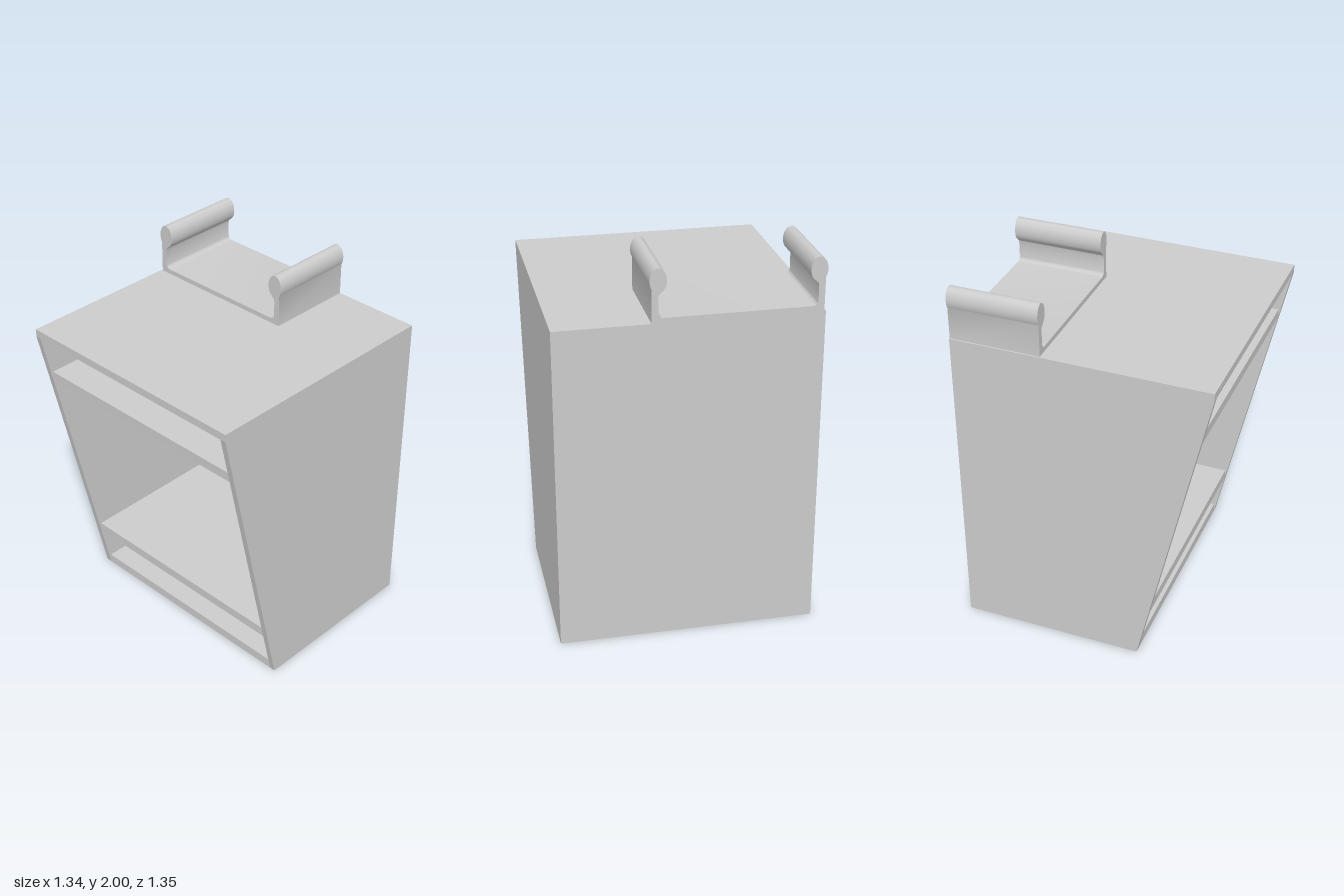
import * as THREE from 'three';
import { toCreasedNormals } from 'three/addons/utils/BufferGeometryUtils.js';

const W = 0.667, H = 1.726, BACK = -0.677, TOP_FRONT = 0.677, BASE_FRONT = 0.3, T = 0.032;
const LIP = 1.685; // height where the sloped front turns vertical
const frontAt = y => BASE_FRONT + (TOP_FRONT - BASE_FRONT) * Math.min(1, y / LIP);

export function createModel() {
  const group = new THREE.Group();
  const material = new THREE.MeshStandardMaterial({ color: 0xcccccc });
  const add = (name, geometry, x = 0, y = 0, z = 0) => {
    const mesh = new THREE.Mesh(geometry, material);
    mesh.name = name;
    mesh.position.set(x, y, z);
    group.add(mesh);
  };

  // Side walls with the sloped front edge
  const profile = new THREE.Shape([
    [BACK, 0], [BASE_FRONT, 0], [TOP_FRONT, LIP], [TOP_FRONT, H], [BACK, H],
  ].map(([z, y]) => new THREE.Vector2(z, y)));
  const wall = new THREE.ExtrudeGeometry(profile, { depth: T, bevelEnabled: false });
  wall.rotateY(-Math.PI / 2);
  add('leftWall', wall, W);
  add('rightWall', wall, -W + T);

  // Back panel
  const inner = 2 * (W - T);
  add('backPanel', new THREE.BoxGeometry(inner, H, T), 0, H / 2, BACK + T / 2);

  // Horizontal boards between the walls
  const boards = [
    ['bottomPanel', 0, 0.05], ['lowerShelf', 0.268, 0.318],
    ['upperShelf', 1.412, 1.46], ['topPanel', LIP, H],
  ];
  for (const [name, y0, y1] of boards) {
    const z0 = BACK + T, z1 = frontAt(y0);
    add(name, new THREE.BoxGeometry(inner, y1 - y0, z1 - z0), 0, (y0 + y1) / 2, (z0 + z1) / 2);
  }

  // Cradle on top: half outline from the outer foot, round the bulb, to the plate
  const arm = 0.391, armOuter = 0.423, bulbY = 1.937, rx = 0.042, ry = 0.063;
  const half = [[armOuter, H]];
  const start = -Math.acos((armOuter - arm) / rx), end = Math.PI * 1.22;
  for (let i = 0; i <= 28; i++) {
    const a = start + (end - start) * i / 28;
    half.push([arm + rx * Math.cos(a), bulbY + ry * Math.sin(a)]);
  }
  half.push([arm - 0.012, 1.876], [arm - 0.003, 1.867], [arm, 1.855]);
  const plateY = 1.752, fillet = 0.025;
  for (let i = 0; i <= 6; i++) {
    const a = Math.PI / 2 * i / 6;
    half.push([arm - fillet + fillet * Math.cos(a), plateY + fillet - fillet * Math.sin(a)]);
  }
  const mirrored = half.map(([x, y]) => [-x, y]).reverse();
  const outline = new THREE.Shape([...half, ...mirrored].map(([x, y]) => new THREE.Vector2(x, y)));
  const cradle = new THREE.ExtrudeGeometry(outline, { depth: -0.2 - BACK, bevelEnabled: false });
  add('cradle', toCreasedNormals(cradle, 0.5), -0.236, 0, BACK);

  return group;
}
